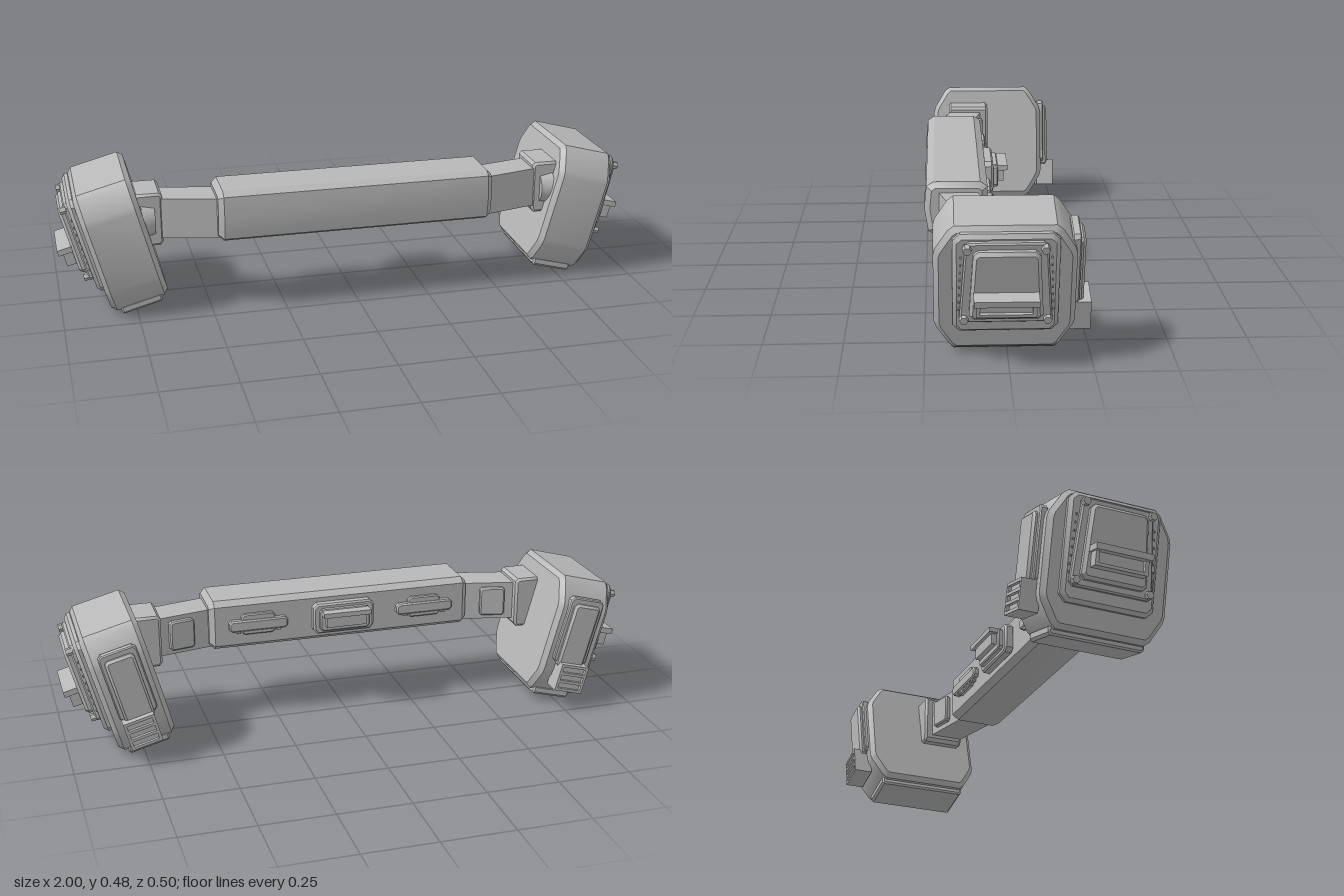
import * as THREE from 'three';
import { toCreasedNormals } from 'three/addons/utils/BufferGeometryUtils.js';

const TILT = THREE.MathUtils.degToRad(15);

export function createModel() {
  const model = new THREE.Group();
  model.name = 'handleWithPods';
  const grey = new THREE.MeshStandardMaterial({ color: 0xb8b8b8 });
  grey.name = 'grey';

  const add = (parent, name, geo) => {
    const mesh = new THREE.Mesh(toCreasedNormals(geo, 0.55), grey);
    mesh.name = name;
    parent.add(mesh);
    return mesh;
  };

  // Bevelled slab: outline in xy, thickness from z = 0 to z = d
  const slab = (pts, d, b = 0) => {
    const shape = new THREE.Shape(pts.map(([x, y]) => new THREE.Vector2(x, y)));
    const geo = new THREE.ExtrudeGeometry(shape, {
      depth: d - 2 * b, bevelEnabled: b > 0, bevelThickness: b, bevelSize: b,
      bevelOffset: -b, bevelSegments: 1,
    });
    return geo.translate(0, 0, b);
  };
  // Slab with outline in (z, y), running from x0 to x1
  const slabX = (pts, x0, x1, b) =>
    slab(pts.map(([z, y]) => [-z, y]), x1 - x0, b).rotateY(Math.PI / 2).translate(x0, 0, 0);
  // Slab with outline in (x, y), running from z0 to z1
  const slabZ = (pts, z0, z1, b) => slab(pts, z1 - z0, b).translate(0, 0, z0);

  // Trapezoid outline with cut corners
  const outline = (a0, a1, b0, b1, c = 0.01, inset = 0) => [
    [a0 + c, b0], [a1 - c, b0], [a1, b0 + c], [a1 - inset, b1 - c],
    [a1 - inset - c, b1], [a0 + inset + c, b1], [a0 + inset, b1 - c], [a0, b0 + c],
  ];
  const box = (x0, x1, y0, y1, z0, z1) =>
    new THREE.BoxGeometry(x1 - x0, y1 - y0, z1 - z0)
      .translate((x0 + x1) / 2, (y0 + y1) / 2, (z0 + z1) / 2);

  // Central grip
  add(model, 'grip', slabX([
    [0.07, 0.255], [0.215, 0.255], [0.238, 0.268], [0.25, 0.345], [0.243, 0.417],
    [0.22, 0.432], [0.07, 0.432], [0.046, 0.415], [0.046, 0.272],
  ], -0.475, 0.475, 0.018));

  // Latch in the middle of the grip's back
  add(model, 'latchBase', slabZ(outline(-0.11, 0.11, 0.29, 0.40, 0.015), 0.015, 0.05, 0.006));
  add(model, 'latchBlock', slabZ(outline(-0.09, 0.09, 0.305, 0.385), -0.002, 0.02, 0.004));
  add(model, 'latchShelf', box(-0.085, 0.085, 0.365, 0.382, -0.035, 0.01));
  add(model, 'latchLip', box(-0.072, 0.072, 0.325, 0.365, -0.022, 0.01));

  // Everything on the +x side, mirrored afterwards
  const side = new THREE.Group();
  side.name = 'leftSide';

  // Small clip on the back of the grip
  add(side, 'clipPlate', slabZ(outline(0.2, 0.41, 0.325, 0.365), 0.025, 0.05, 0.005));
  add(side, 'clipBlock', slabZ(outline(0.245, 0.365, 0.31, 0.385), 0.032, 0.05, 0.004));
  for (let i = 0; i < 6; i++) {
    const x = 0.227 + i * 0.0285;
    add(side, 'clipTooth', box(x, x + 0.014, 0.317, 0.327, 0.03, 0.05));
  }

  // Slanted arm
  add(side, 'arm', slab([[0.45, 0.083], [0.45, 0.208], [0.67, 0.155], [0.67, 0.035]], 0.138)
    .rotateX(Math.PI / 2).translate(0, 0.4, 0));
  const pad = add(side, 'armPad', slabZ(outline(-0.045, 0.045, 0.28, 0.385, 0.008), -0.018, 0.01, 0.005));
  pad.position.set(0.575, 0, 0.055);
  pad.rotation.y = Math.atan2(0.048, 0.22);

  // Hinge between arm and pod
  add(side, 'hingeBlock', slabZ([
    [0.65, 0.25], [0.66, 0.236], [0.715, 0.236], [0.745, 0.41], [0.735, 0.42], [0.66, 0.42], [0.65, 0.41],
  ], 0.01, 0.162, 0.008));
  add(side, 'hingeDisc', new THREE.CylinderGeometry(0.056, 0.064, 0.045, 24)
    .rotateZ(Math.PI / 2).rotateX(0).translate(0.7, 0.325, 0.13));

  // Tilted pod
  const pod = new THREE.Group();
  pod.name = 'pod';
  pod.rotation.z = -TILT;
  side.add(pod);

  // Pod body: rounded outline built from one corner
  const corner = [[0.2125, 0.118], [0.207, 0.139], [0.168, 0.203], [0.15, 0.2175]];
  const flip = (sx, sy) => corner.map(([z, y]) => [0.009 + sx * z, 0.442 + sy * y]);
  add(pod, 'podBody', slabX([
    ...flip(1, 1), ...flip(-1, 1).reverse(), ...flip(-1, -1), ...flip(1, -1).reverse(),
  ], 0.603, 0.802, 0.016));
  add(pod, 'podFoot', slabX(outline(-0.155, 0.17, 0.207, 0.24, 0.008), 0.63, 0.773, 0.006));

  // Stacked plates on the outer face
  add(pod, 'outerPanel', slabX(outline(-0.15, 0.165, 0.305, 0.648, 0.022), 0.79, 0.825, 0.012));
  add(pod, 'boltPlate', slabX(outline(-0.131, 0.146, 0.352, 0.631, 0.012, 0.018), 0.81, 0.84, 0.005));
  add(pod, 'raisedPlate', slabX(outline(-0.103, 0.117, 0.374, 0.61, 0.014, 0.012), 0.82, 0.862, 0.01));

  // Hex bolts at the plate corners
  for (const [z, v] of [[0.122, 0.614], [-0.105, 0.614], [0.132, 0.368], [-0.117, 0.368]]) {
    add(pod, 'bolt', new THREE.CylinderGeometry(0.013, 0.014, 0.022, 6)
      .rotateZ(-Math.PI / 2).translate(0.843, v, z));
  }

  // Rib lines of tiny studs beside the plate
  for (let i = 0; i < 8; i++) {
    const v = 0.39 + i * 0.026;
    const lean = 0.008 * i / 7;
    add(pod, 'stud', box(0.82, 0.83, v, v + 0.006, 0.146 - lean, 0.151 - lean));
    add(pod, 'stud', box(0.82, 0.83, v, v + 0.006, -0.136 + lean, -0.131 + lean));
  }

  // Pull ledge
  add(pod, 'ledgeTop', box(0.85, 0.91, 0.456, 0.476, -0.088, 0.104));
  add(pod, 'ledgeBottom', box(0.85, 0.895, 0.41, 0.42, -0.081, 0.097));
  add(pod, 'ledgeBack', box(0.85, 0.884, 0.42, 0.456, -0.07, 0.085));
  for (const z of [-0.081, 0.085]) {
    add(pod, 'ledgeCheek', box(0.85, 0.895, 0.42, 0.456, z, z + 0.012));
  }

  // Rear cover strip with vent box below
  add(pod, 'rearBacking', slabZ(outline(0.635, 0.765, 0.36, 0.605, 0.012), -0.217, -0.19, 0.004));
  add(pod, 'rearCover', slabZ(outline(0.65, 0.75, 0.345, 0.585, 0.01), -0.232, -0.2, 0.008));
  add(pod, 'ventBox', box(0.655, 0.762, 0.267, 0.367, -0.244, -0.19));
  for (const x of [0.655, 0.752]) {
    add(pod, 'ventFrame', box(x, x + 0.01, 0.267, 0.367, -0.255, -0.24));
  }
  for (let i = 0; i < 4; i++) {
    const v = 0.267 + i * 0.03;
    add(pod, 'ventSlat', box(0.665, 0.752, v, v + 0.01, -0.255, -0.24));
  }

  model.add(side);

  // Mirrored copy with corrected corner order
  const other = new THREE.Group();
  other.name = 'rightSide';
  side.updateMatrixWorld(true);
  side.traverse((part) => {
    if (!part.isMesh) return;
    const geo = part.geometry.clone().applyMatrix4(part.matrixWorld).scale(-1, 1, 1);
    for (const key of ['position', 'normal']) {
      const a = geo.attributes[key];
      if (key === 'normal') {
        const src = part.geometry.clone().applyMatrix4(part.matrixWorld).attributes.normal;
        for (let i = 0; i < a.count; i++) a.setXYZ(i, -src.getX(i), src.getY(i), src.getZ(i));
      }
      for (let i = 0; i < a.count; i += 3) {
        const p = [a.getX(i + 1), a.getY(i + 1), a.getZ(i + 1)];
        a.setXYZ(i + 1, a.getX(i + 2), a.getY(i + 2), a.getZ(i + 2));
        a.setXYZ(i + 2, ...p);
      }
    }
    const mesh = new THREE.Mesh(geo, grey);
    mesh.name = part.name;
    other.add(mesh);
  });
  model.add(other);

  return model;
}
